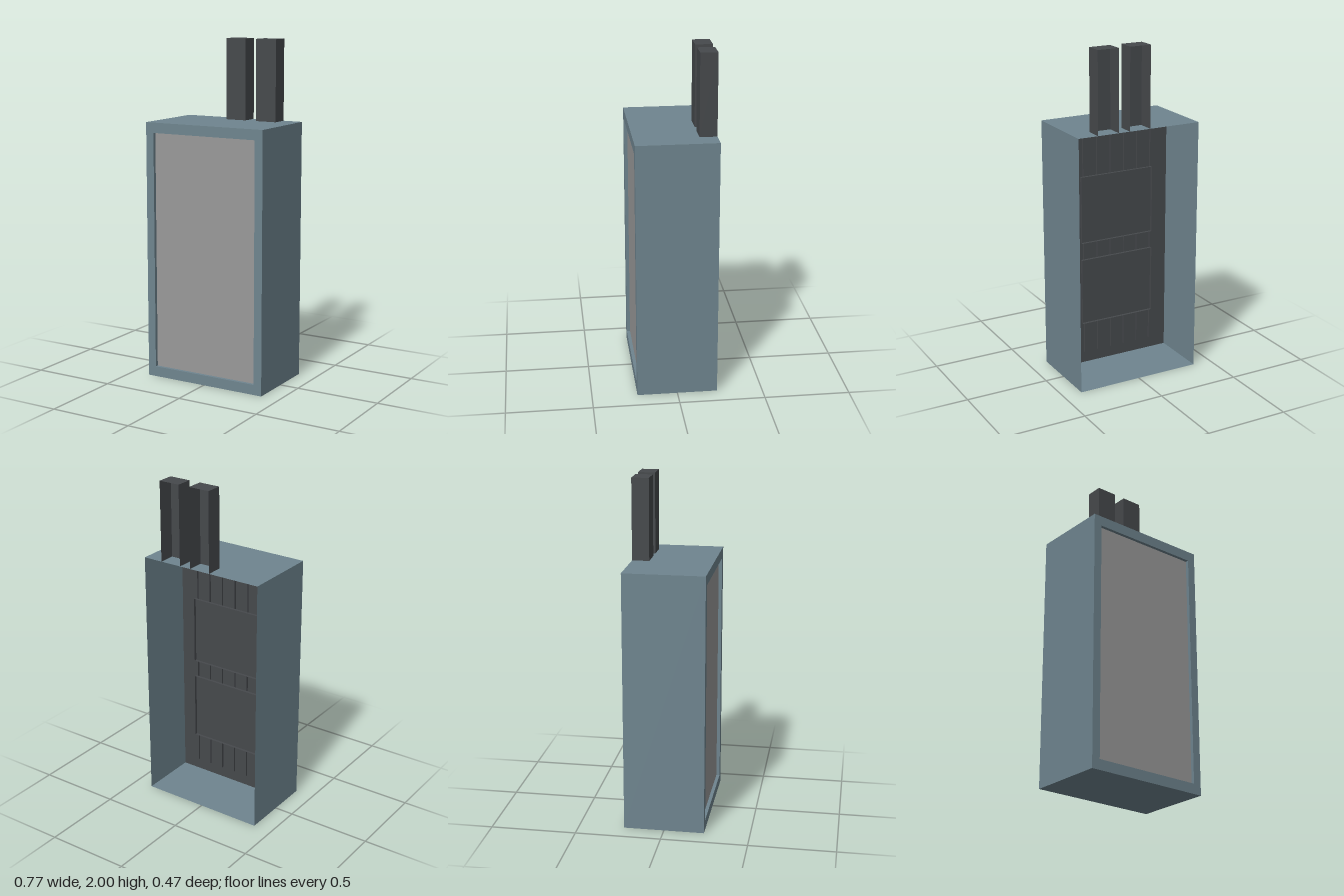
import * as THREE from 'three';

export function createModel() {
  const model = new THREE.Group();
  const mat = (name, color) =>
    new THREE.MeshStandardMaterial({ name, color, side: THREE.DoubleSide });
  const slate = mat('slate blue', 0x6f858f);
  const grey = mat('panel grey', 0x9a9a9a);
  const dark = mat('dark grey', 0x46494c);

  const add = (name, geometry, material, x = 0, y = 0, z = 0) => {
    const mesh = new THREE.Mesh(geometry, material);
    mesh.name = name;
    mesh.position.set(x, y, z);
    model.add(mesh);
    return mesh;
  };

  // Box made only of the listed faces: 0 +x, 1 -x, 2 +y, 3 -y, 4 +z, 5 -z
  const openBox = (w, h, d, faces) => {
    const g = new THREE.BoxGeometry(w, h, d);
    const index = Array.from(g.index.array);
    g.setIndex(faces.flatMap((f) => index.slice(f * 6, f * 6 + 6)));
    g.clearGroups();
    return g;
  };

  const W = 0.77, H = 1.525, D = 0.47, MID = H / 2;
  const innerW = 0.67, innerH = 1.405, recess = 0.02;

  // Cabinet walls, open at the back
  add('cabinetShell', openBox(W, H, D, [0, 1, 2, 3]), slate, 0, MID, 0);

  // Front frame with a shallow recess
  const frame = new THREE.Shape();
  const rect = (path, w, h) => path
    .moveTo(-w / 2, -h / 2).lineTo(w / 2, -h / 2)
    .lineTo(w / 2, h / 2).lineTo(-w / 2, h / 2).closePath();
  rect(frame, W, H);
  const opening = new THREE.Path();
  rect(opening, innerW, innerH);
  frame.holes.push(opening);
  add('frontFrame', new THREE.ExtrudeGeometry(frame, { depth: recess, bevelEnabled: false }),
    slate, 0, MID, D / 2 - recess);
  add('frontPanel', new THREE.PlaneGeometry(innerW, innerH), grey, 0, MID, D / 2 - recess);

  // Inner board closing the cavity behind the front
  const boardZ = 0.118;
  add('innerBoard', new THREE.PlaneGeometry(W - 0.002, H - 0.002), dark, 0, MID, boardZ);

  // Row of thin upright ribs on the board
  for (let i = -3; i <= 3; i++) {
    add('rib', new THREE.BoxGeometry(0.008, 1.385, 0.012), dark, i * 0.09, MID, boardZ - 0.006);
  }

  // Two shallow trays standing off the board, open to the back
  for (const y of [0.5, 1.01]) {
    add('tray', openBox(0.47, 0.405, 0.016, [0, 1, 2, 3, 4]), dark, 0, y, 0.038);
    for (const s of [-1, 1]) {
      add('trayBracket', new THREE.BoxGeometry(0.02, 0.1, 0.072), dark, s * 0.135, y, 0.082);
    }
  }

  // Two square ducts rising from the top, open at the back and foot
  for (const x of [0, 0.2]) {
    add('duct', openBox(0.13, 2 - H, 0.1, [0, 1, 2, 4]), dark, x, (2 + H) / 2, -D / 2 + 0.05);
  }

  return model;
}
